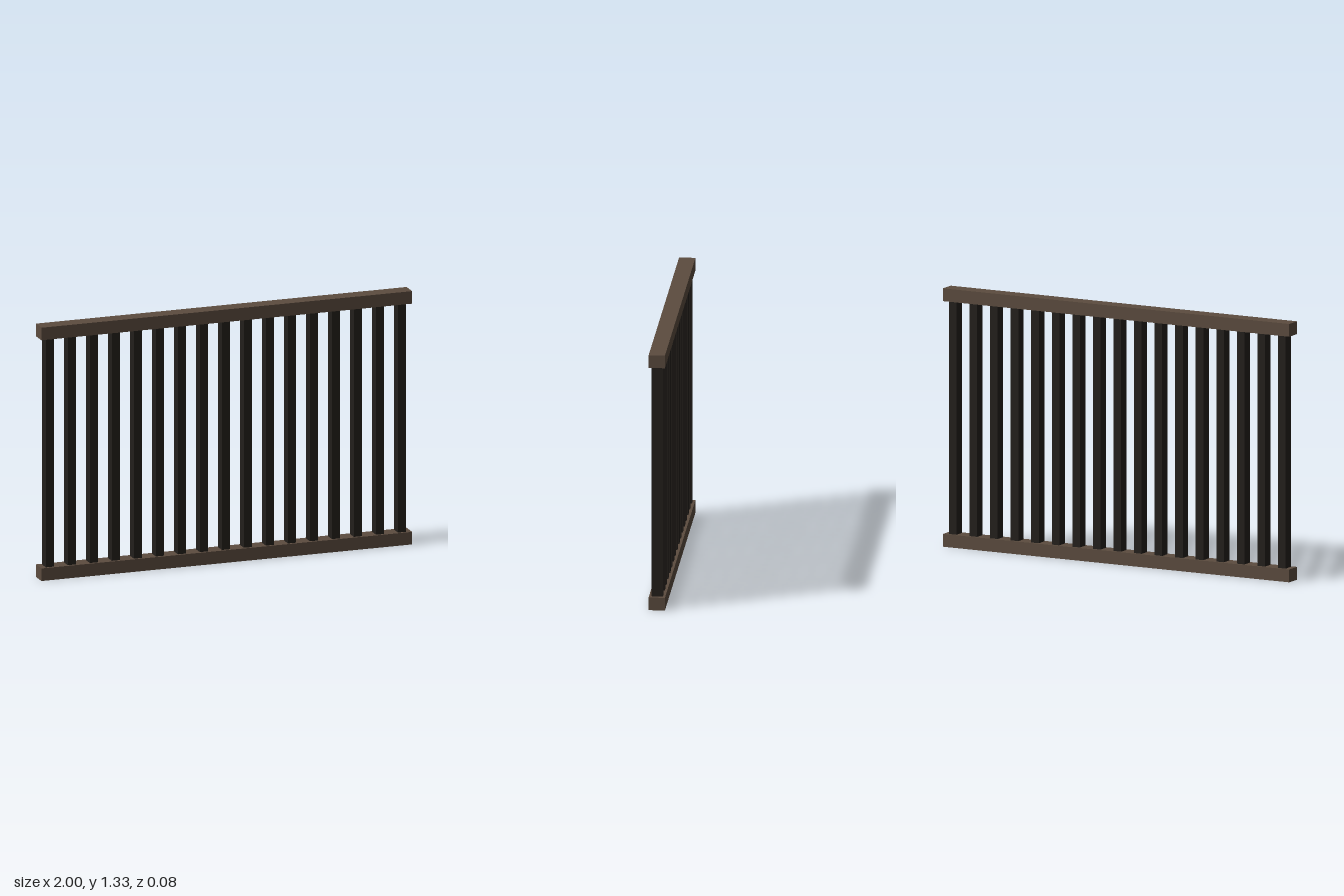
import * as THREE from 'three';

const LENGTH = 2, HEIGHT = 1.333;
const RAIL_H = 0.066, RAIL_D = 0.083;
const BAR_W = 0.044, BAR_D = 0.058, BAR_COUNT = 17, BAR_SPAN = 1.9;

export function createModel() {
  const group = new THREE.Group();
  group.name = 'railing';
  const railMaterial = new THREE.MeshStandardMaterial({ color: 0x5c4c3f });
  const barMaterial = new THREE.MeshStandardMaterial({ color: 0x231f1b });

  const addBox = (name, geometry, material, x, y) => {
    const mesh = new THREE.Mesh(geometry, material);
    mesh.name = name;
    mesh.position.set(x, y, 0);
    group.add(mesh);
  };

  // Top and bottom rails
  const rail = new THREE.BoxGeometry(LENGTH, RAIL_H, RAIL_D);
  addBox('bottomRail', rail, railMaterial, 0, RAIL_H / 2);
  addBox('topRail', rail, railMaterial, 0, HEIGHT - RAIL_H / 2);

  // Evenly spaced upright bars between the rails
  const bar = new THREE.BoxGeometry(BAR_W, HEIGHT - 2 * RAIL_H, BAR_D);
  for (let i = 0; i < BAR_COUNT; i++) {
    const x = (i / (BAR_COUNT - 1) - 0.5) * BAR_SPAN;
    addBox(`bar${i + 1}`, bar, barMaterial, x, HEIGHT / 2);
  }
  return group;
}
